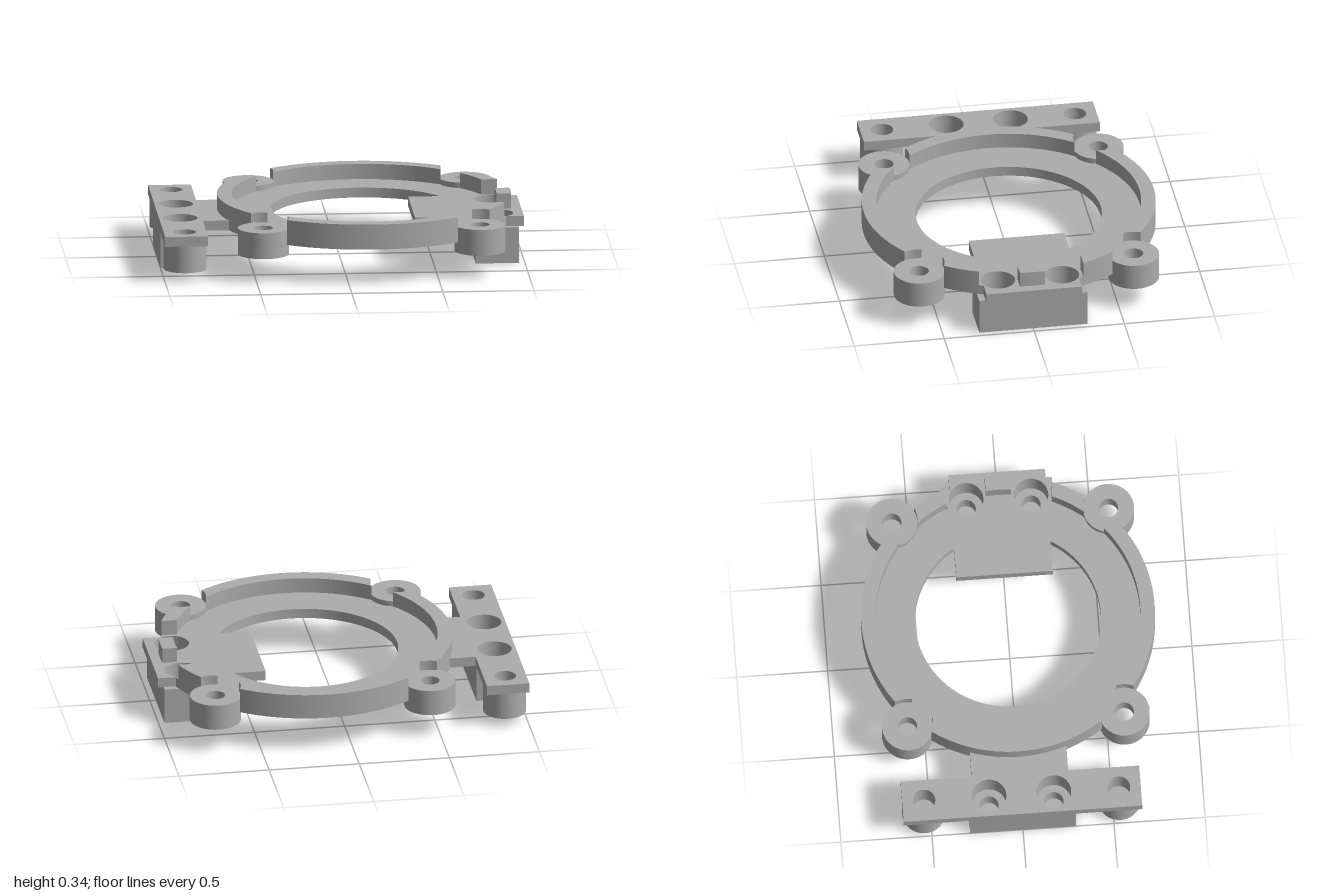
import * as THREE from 'three';
import { toCreasedNormals } from 'three/addons/utils/BufferGeometryUtils.js';

const CX = 0.138;                       // ring centre in x
const R_OUT = 0.805, R_LIP = 0.725, R_HOLE = 0.51;
const LUG = 0.595, LUG_R = 0.14, LUG_D = LUG * Math.SQRT2;
const HALF = 0.265;                     // half width of neck and tongue
const BASE = 0.2, FLOOR = 0.255, TOP = 0.34;

const V = (x, y) => new THREE.Vector2(x, y);

// points on an arc (angles in radians)
function arc(cx, cy, r, a0, a1, n = 48) {
  const pts = [];
  for (let i = 0; i <= n; i++) {
    const a = a0 + (a1 - a0) * i / n;
    pts.push(V(cx + r * Math.cos(a), cy + r * Math.sin(a)));
  }
  return pts;
}
const circle = (x, y, r, n = 40) => arc(x, y, r, 0, Math.PI * 2, n).slice(0, -1);
const rect = (x0, x1, h) => [V(x0, -h), V(x1, -h), V(x1, h), V(x0, h)];

export function createModel() {
  const model = new THREE.Group();
  const grey = new THREE.MeshStandardMaterial({ color: 0xacacac });
  grey.name = 'grey plastic';

  // flat outline with holes, extruded upward from y0 to y1
  function slab(name, outline, holes, y0, y1, parent = model) {
    const shape = new THREE.Shape(outline);
    holes.forEach(h => shape.holes.push(new THREE.Path(h)));
    let geo = new THREE.ExtrudeGeometry(shape, { depth: y1 - y0, bevelEnabled: false });
    geo.rotateX(-Math.PI / 2);
    geo.translate(0, y0, 0);
    geo = toCreasedNormals(geo, 0.5);
    const mesh = new THREE.Mesh(geo, grey);
    mesh.name = name;
    parent.add(mesh);
    return mesh;
  }

  // base plate: ring floor, left mounting bar with neck, right tongue
  const aOut = Math.asin(HALF / R_OUT), aStep = 0.4, aNeck = Math.asin(HALF / R_LIP);
  const upper = [
    V(0.997, HALF),
    ...arc(CX, 0, R_OUT, aOut, aStep, 4),
    ...arc(CX, 0, R_LIP, aStep, Math.PI - aNeck, 64),
    V(-0.765, HALF), V(-0.765, 0.655), V(-1, 0.655),
  ];
  const lower = upper.map(p => V(p.x, -p.y)).reverse();
  const aIn = Math.asin(HALF / R_HOLE);
  const opening = [
    ...arc(CX, 0, R_HOLE, aIn, Math.PI * 2 - aIn, 80),
    V(0.4, -HALF), V(0.4, HALF),
  ];
  const plateHoles = [opening];
  for (const s of [1, -1]) {
    plateHoles.push(circle(-0.883, s * 0.178, 0.095));
    plateHoles.push(circle(0.85, s * 0.178, 0.095));
    plateHoles.push(circle(-0.883, s * 0.535, 0.062));
  }
  slab('basePlate', [...upper, ...lower], plateHoles, BASE, FLOOR);

  // raised lip, in pieces whose end angles depend on the radius
  function lipPiece(name, start, end, y0 = BASE) {
    const outer = arc(CX, 0, R_OUT, start(R_OUT), end(R_OUT));
    const inner = arc(CX, 0, R_LIP, end(R_LIP), start(R_LIP));
    const side = (fn, from, to) => [1, 2, 3, 4].map(i => {
      const r = from + (to - from) * i / 5;
      return V(CX + r * Math.cos(fn(r)), r * Math.sin(fn(r)));
    });
    slab(name, [...outer, ...side(end, R_OUT, R_LIP), ...inner, ...side(start, R_LIP, R_OUT)],
      [], y0, TOP);
  }
  const lugGap = r => Math.acos((r * r + LUG_D * LUG_D - LUG_R * LUG_R) / (2 * r * LUG_D));
  const q = Math.PI / 4;
  const after = k => r => k * q + lugGap(r);
  const before = k => r => k * q - lugGap(r);
  const atZ = z => r => Math.asin(z / r);
  lipPiece('backLip', after(1), before(3));
  lipPiece('sideLip', after(3), before(5));
  lipPiece('frontLip', after(5), before(7));
  lipPiece('clampLipBack', atZ(0.29), before(1));
  lipPiece('clampLipFront', after(-1), atZ(-0.29));
  lipPiece('clampLipMiddle', atZ(-0.07), atZ(0.07), FLOOR - 0.02);

  // four screw lugs with a hexagonal nut recess underneath
  for (const sx of [1, -1]) for (const sz of [1, -1]) {
    const lug = new THREE.Group();
    lug.name = 'screwLug';
    const x = CX + sx * LUG, y = sz * LUG;
    slab('lugTop', circle(x, y, LUG_R, 48), [circle(x, y, 0.053)], 0.195, 0.285, lug);
    slab('nutRecess', circle(x, y, LUG_R, 48), [circle(x, y, 0.09, 6)], 0.14, 0.195, lug);
    model.add(lug);
  }

  // mounting blocks with counterbored screw holes
  function block(name, x0, x1, h, hx) {
    const bores = r => [1, -1].map(s => circle(hx, s * 0.178, r));
    const g = new THREE.Group();
    g.name = name;
    slab('blockBottom', rect(x0, x1, h), bores(0.053), 0, 0.1, g);
    slab('blockTop', rect(x0, x1, h), bores(0.095), 0.1, BASE, g);
    model.add(g);
  }
  block('rightBlock', 0.73, 0.967, 0.3, 0.85);
  block('leftBlock', -1, -0.765, 0.29, -0.883);

  // round posts under the bar ends, with blind holes from above
  for (const s of [1, -1]) {
    const post = new THREE.Group();
    post.name = 'post';
    const y = s * 0.537;
    slab('postBottom', circle(-0.882, y, 0.118), [], 0.05, 0.1, post);
    slab('postTop', circle(-0.882, y, 0.118), [circle(-0.883, s * 0.535, 0.062)], 0.1, BASE, post);
    model.add(post);
  }
  return model;
}
